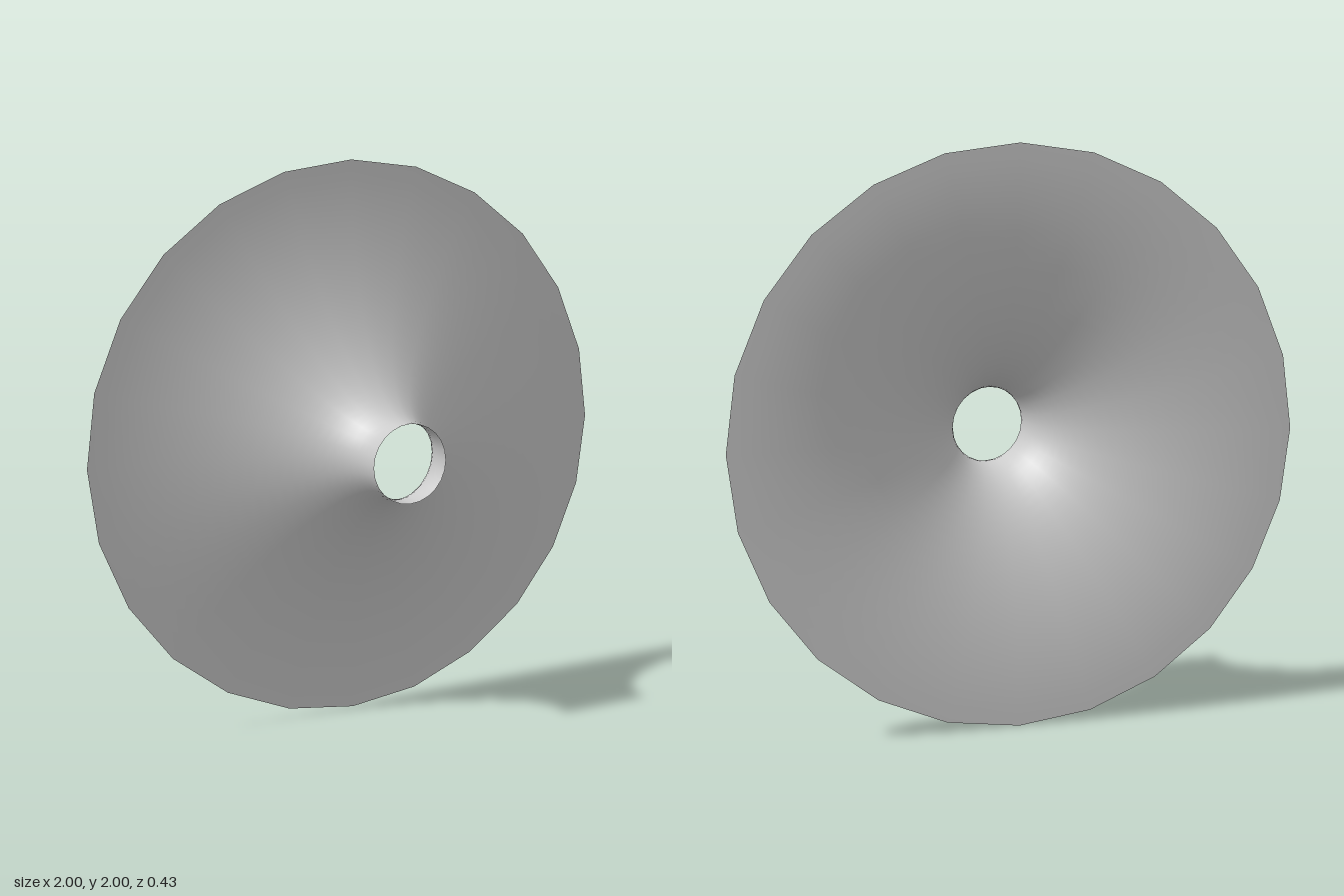
import * as THREE from 'three';

export function createModel() {
  const model = new THREE.Group();
  model.name = 'flaredFunnel';

  // Flare profile: an elliptical arc from the wide rim, through the narrow
  // throat, to the slightly opened mouth.
  const centreY = 0.175, radial = 0.865, axial = 0.39;
  const start = -Math.PI / 2, end = Math.asin((0.215 - centreY) / axial);
  const steps = 24;
  const profile = [];
  for (let i = 0; i <= steps; i++) {
    const a = start + (end - start) * (i / steps);
    profile.push(new THREE.Vector2(1 - radial * Math.cos(a), centreY + axial * Math.sin(a)));
  }

  // Thin open shell, turned so the narrow mouth faces the front
  const geometry = new THREE.LatheGeometry(profile, 24);
  geometry.rotateX(Math.PI / 2);
  const material = new THREE.MeshStandardMaterial({ color: 0xcccccc, side: THREE.DoubleSide });
  const shell = new THREE.Mesh(geometry, material);
  shell.name = 'flaredShell';
  shell.position.y = 1;
  model.add(shell);

  return model;
}
